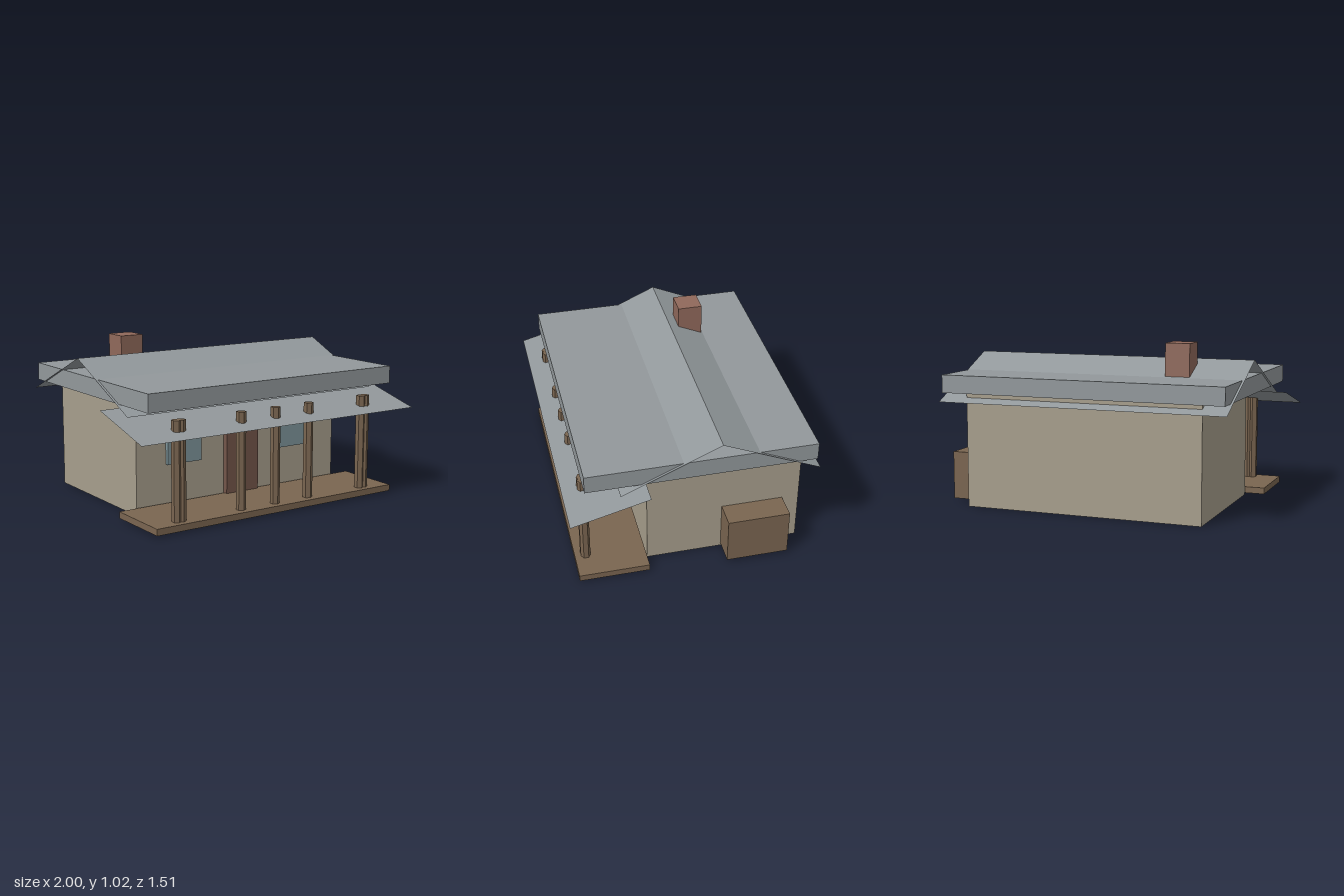
import * as THREE from 'three';

const mat = (color, extra = {}) => new THREE.MeshStandardMaterial({ color, ...extra });

export function createModel() {
  const house = new THREE.Group();
  house.name = 'cabin';

  const wall = mat(0xa79e8c);
  const wood = mat(0x7a6550, { flatShading: true });
  const brick = mat(0x90695b);
  const doorMat = mat(0x74564a);
  const glass = mat(0x7f969c);
  const roof = mat(0x92989b);
  const sheet = mat(0x92989b, { side: THREE.DoubleSide });

  // Box given by its extents on each axis
  function box(name, material, [x0, x1], [y0, y1], [z0, z1]) {
    const mesh = new THREE.Mesh(new THREE.BoxGeometry(x1 - x0, y1 - y0, z1 - z0), material);
    mesh.position.set((x0 + x1) / 2, (y0 + y1) / 2, (z0 + z1) / 2);
    mesh.name = name;
    house.add(mesh);
  }

  // Thin sloping sheet between a high edge and a low edge, each [y, z]
  function slope(name, width, [yHigh, zHigh], [yLow, zLow]) {
    const dy = yHigh - yLow, dz = zLow - zHigh;
    const geometry = new THREE.PlaneGeometry(width, Math.hypot(dy, dz));
    geometry.rotateX(-Math.PI / 2);
    geometry.rotateX(Math.atan(dy / dz));
    const mesh = new THREE.Mesh(geometry, sheet);
    mesh.position.set(0, (yHigh + yLow) / 2, (zHigh + zLow) / 2);
    mesh.name = name;
    house.add(mesh);
  }

  // Body and roof
  box('walls', wall, [-0.75, 0.75], [0, 0.71], [-0.695, 0.255]);
  box('roofSlab', roof, [-0.895, 0.895], [0.705, 0.815], [-0.74, 0.645]);
  slope('frontRoofSlope', 1.82, [0.915, -0.158], [0.65, 0.44]);
  slope('backRoofSlope', 1.82, [0.915, -0.158], [0.65, -0.756]);
  slope('porchRoof', 2, [0.675, 0.28], [0.552, 0.75]);
  box('chimney', brick, [-0.57, -0.417], [0.7, 1.02], [-0.375, -0.22]);

  // Door, windows and side box
  box('door', doorMat, [-0.12, 0.12], [0.02, 0.457], [0.25, 0.29]);
  for (const s of [-1, 1]) {
    const x = s * 0.423;
    box(s < 0 ? 'rightWindow' : 'leftWindow', glass, [x - 0.12, x + 0.12], [0.29, 0.487], [0.25, 0.28]);
  }
  box('sideBox', wood, [0.74, 0.908], [0.02, 0.317], [-0.592, -0.21]);

  // Porch deck and hexagonal posts, doubled at the corners
  box('porchDeck', wood, [-0.875, 0.875], [0.01, 0.05], [0.265, 0.695]);
  const postGeometry = new THREE.CylinderGeometry(0.03, 0.03, 0.645, 6);
  for (const x of [-0.702, -0.672, -0.252, 0, 0.252, 0.672, 0.702]) {
    const post = new THREE.Mesh(postGeometry, wood);
    post.position.set(x, 0.3225, 0.628);
    post.name = 'porchPost';
    house.add(post);
  }

  return house;
}
